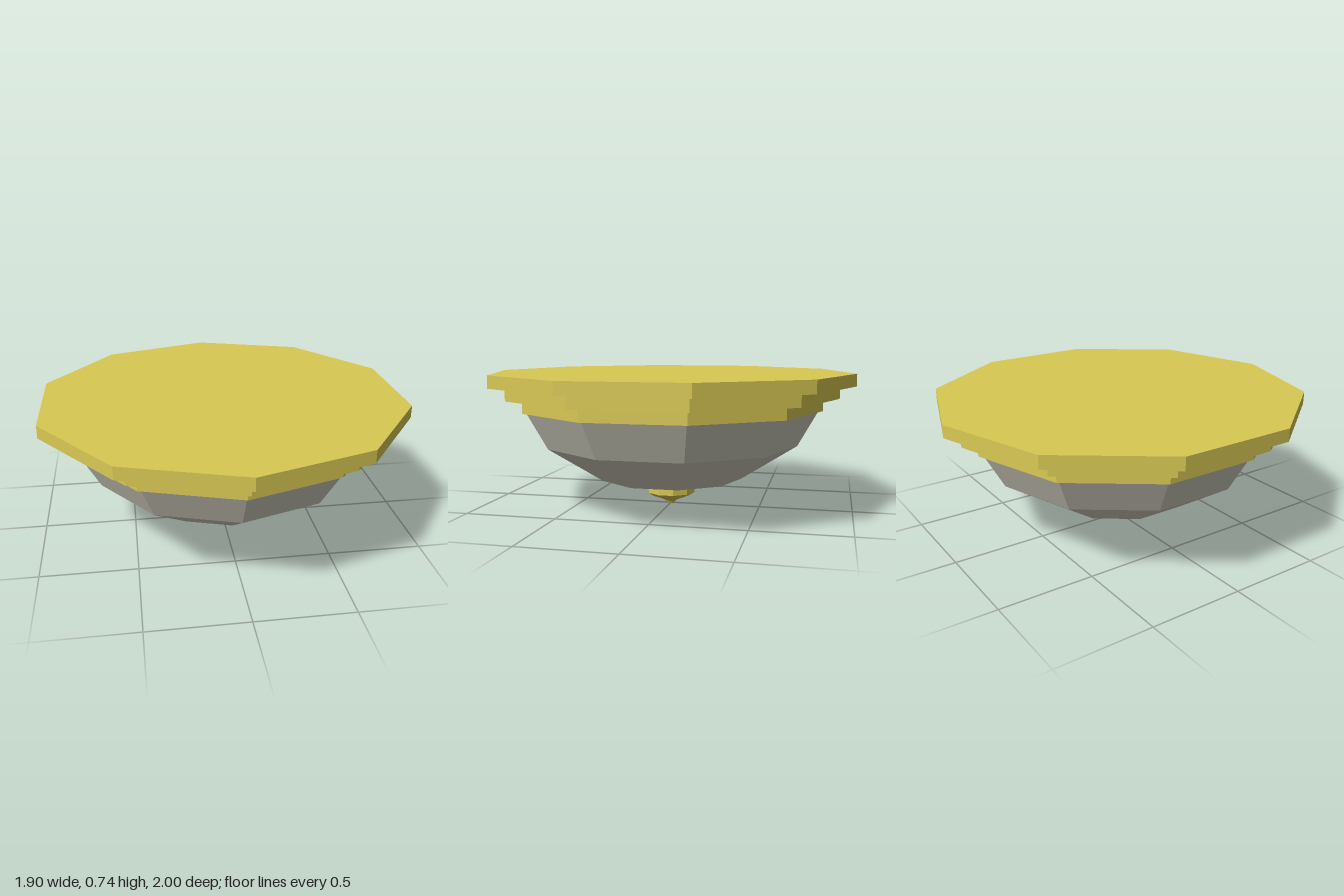
import * as THREE from 'three';

const SIDES = 10;

export function createModel() {
  const model = new THREE.Group();
  model.name = 'ceilingLamp';

  const brass = new THREE.MeshStandardMaterial({ color: 0xd9c954, flatShading: true });
  brass.name = 'brass';
  const glass = new THREE.MeshStandardMaterial({ color: 0xd2cfbf, flatShading: true });
  glass.name = 'frostedGlass';

  const add = (name, geometry, material, y = 0) => {
    const mesh = new THREE.Mesh(geometry, material);
    mesh.name = name;
    mesh.position.y = y;
    model.add(mesh);
  };
  // Profiles run from the bottom up as [radius, height]
  const turned = (profile) =>
    new THREE.LatheGeometry(profile.map(([r, y]) => new THREE.Vector2(r, y)), SIDES);

  // Stepped ceiling mount, narrowest tier at the bottom
  const tierHeight = 0.0667;
  [0.83, 0.915, 1].forEach((radius, i) => {
    add(`mountTier${i + 1}`, new THREE.CylinderGeometry(radius, radius, tierHeight, SIDES),
      brass, 0.54 + tierHeight * (i + 0.5));
  });

  // Faceted glass bowl
  add('bowl', turned([[0, 0.1], [0.12, 0.103], [0.4, 0.155], [0.7, 0.347], [0.81, 0.545]]), glass);

  // Finial: collar, rounded cap and small tip
  add('finial', turned([
    [0, 0], [0.02, 0], [0.028, 0.014], [0.05, 0.026], [0.105, 0.046],
    [0.135, 0.066], [0.135, 0.105], [0, 0.105],
  ]), brass);

  return model;
}
